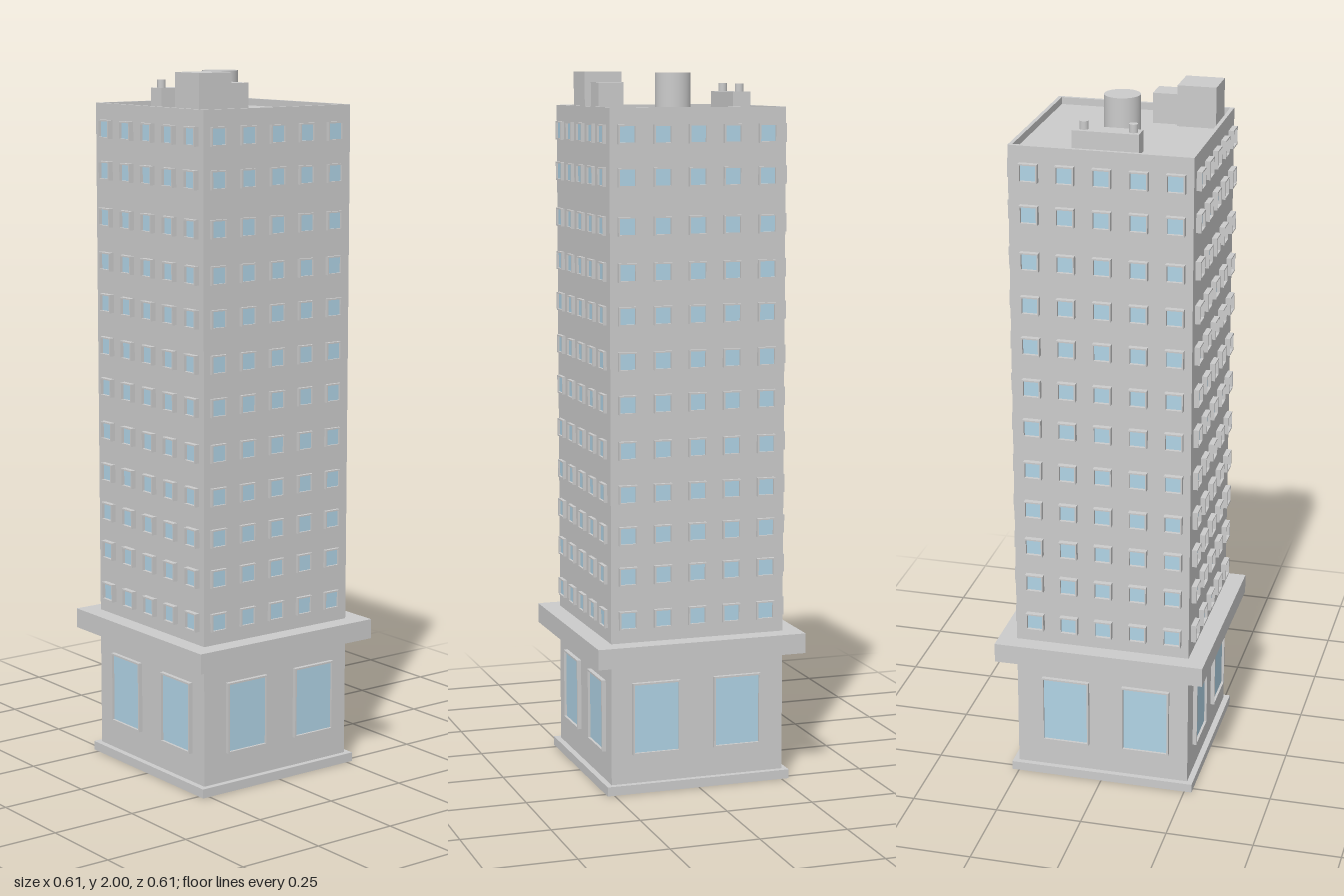
import * as THREE from 'three';
import { mergeGeometries } from 'three/addons/utils/BufferGeometryUtils.js';

const grey = new THREE.MeshStandardMaterial({ color: 0xcccccc });
const blue = new THREE.MeshStandardMaterial({ color: 0xb0d3e5 });

const mesh = (name, geometry, material = grey) => {
  const m = new THREE.Mesh(geometry, material);
  m.name = name;
  return m;
};

// Box given by its minimum and maximum on each axis
const block = (name, x0, x1, y0, y1, z0, z1) =>
  mesh(name, new THREE.BoxGeometry(x1 - x0, y1 - y0, z1 - z0)
    .translate((x0 + x1) / 2, (y0 + y1) / 2, (z0 + z1) / 2));

const cylinder = (name, r, y0, y1, x, z, sides) =>
  mesh(name, new THREE.CylinderGeometry(r, r, y1 - y0, sides).translate(x, (y0 + y1) / 2, z));

const rect = (PathType, w, h) => new PathType([
  [-w, -h], [w, -h], [w, h], [-w, h],
].map(([x, y]) => new THREE.Vector2(x / 2, y / 2)));

// Thin projecting rim, and the pane set back inside it, facing +z
function windowParts(w, h, bar, depth) {
  const shape = rect(THREE.Shape, w, h);
  shape.holes.push(rect(THREE.Path, w - 2 * bar, h - 2 * bar));
  return {
    rim: new THREE.ExtrudeGeometry(shape, { depth, bevelEnabled: false }),
    pane: new THREE.PlaneGeometry(w - 2 * bar, h - 2 * bar).translate(0, 0, depth * 0.4),
  };
}

export function createModel() {
  const model = new THREE.Group();
  model.name = 'towerBlock';
  const X0 = -0.255, X1 = 0.253, Z0 = -0.256, Z1 = 0.253;
  const TOP = 1.905, ROOF = 1.885, LIP = 0.011;

  // Main masses
  model.add(
    block('plinth', -0.272, 0.27, 0, 0.026, -0.272, 0.27),
    block('groundFloor', X0, X1, 0.026, 0.375, Z0, Z1),
    block('canopyLedge', -0.306, 0.306, 0.373, 0.43, -0.306, 0.306),
    block('tower', X0, X1, 0.43, ROOF, Z0, Z1),
  );

  // Parapet around the roof
  model.add(
    block('parapetFront', X0, X1, ROOF, TOP, Z1 - LIP, Z1),
    block('parapetBack', X0, X1, ROOF, TOP, Z0, Z0 + LIP),
    block('parapetLeft', X1 - LIP, X1, ROOF, TOP, Z0 + LIP, Z1 - LIP),
    block('parapetRight', X0, X0 + LIP, ROOF, TOP, Z0 + LIP, Z1 - LIP),
  );

  // Windows: position along each wall, floor heights, rim depth per wall
  const floors = [0.495, 0.619, 0.733, 0.849, 0.971, 1.098, 1.217, 1.341, 1.46, 1.585, 1.717, 1.833];
  const alongX = [-0.208, -0.107, -0.006, 0.095, 0.195];
  const alongZ = [-0.201, -0.099, 0.002, 0.103, 0.205];
  const walls = [
    { name: 'front', turn: 0, at: s => [s, Z1], columns: alongX, large: [-0.11, 0.13], depth: 0.01 },
    { name: 'back', turn: Math.PI, at: s => [s, Z0], columns: alongX, large: [-0.13, 0.108], depth: 0.016 },
    { name: 'left', turn: Math.PI / 2, at: s => [X1, s], columns: alongZ, large: [-0.117, 0.123], depth: 0.011 },
    { name: 'right', turn: -Math.PI / 2, at: s => [X0, s], columns: alongZ, large: [-0.117, 0.128], depth: 0.015 },
  ];
  for (const { name, turn, at, columns, large, depth } of walls) {
    const rims = [], panes = [];
    const place = (parts, s, y) => {
      const [x, z] = at(s);
      rims.push(parts.rim.clone().rotateY(turn).translate(x, y, z));
      panes.push(parts.pane.clone().rotateY(turn).translate(x, y, z));
    };
    const small = windowParts(0.052, 0.052, 0.004, depth);
    for (const y of floors) for (const s of columns) place(small, s, y);
    const big = windowParts(0.14, 0.205, 0.005, 0.012);
    for (const s of large) place(big, s, 0.212);
    model.add(
      mesh(`${name}WindowFrames`, mergeGeometries(rims)),
      mesh(`${name}WindowGlass`, mergeGeometries(panes), blue),
    );
  }

  // Rooftop equipment
  model.add(
    block('stairHouse', -0.236, -0.127, ROOF, 2, 0.098, 0.207),
    block('stairHouseAnnex', -0.127, -0.054, ROOF, 1.97, 0.115, 0.189),
    cylinder('waterTank', 0.05, ROOF, 1.997, 0, -0.013, 32),
    block('ventUnit', -0.095, 0.088, ROOF, 1.944, -0.213, -0.161),
  );
  for (const x of [-0.075, 0.06]) model.add(cylinder('ventPipe', 0.012, 1.944, 1.967, x, -0.19, 16));

  return model;
}
